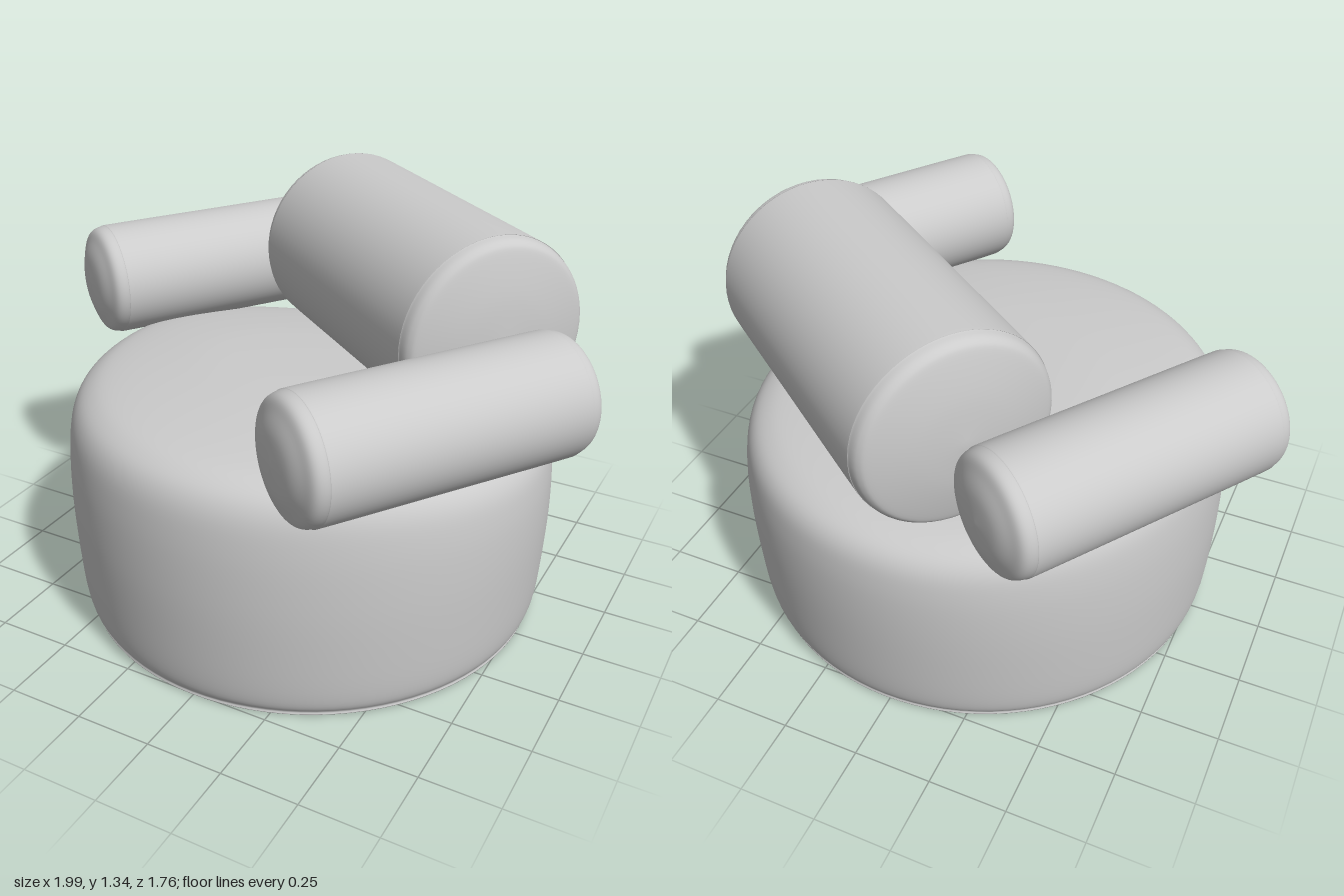
import * as THREE from 'three';
import { mergeVertices } from 'three/addons/utils/BufferGeometryUtils.js';

const material = new THREE.MeshStandardMaterial({ color: 0xcccccc });

// Smooth lathe through a few profile points, welded so the seam shades cleanly
function turned(points, segments, rule) {
  const curve = new THREE.SplineCurve(points.map(([r, y]) => new THREE.Vector2(r, y)));
  const profile = curve.getPoints(points.length * 5);
  profile.forEach((p) => { p.x = Math.max(p.x, 0); p.y = Math.max(p.y, rule ? 0 : -10); });
  profile[0].x = profile[profile.length - 1].x = 0;
  let geometry = new THREE.LatheGeometry(profile, segments);
  geometry.deleteAttribute('uv');
  geometry.deleteAttribute('normal');
  geometry = mergeVertices(geometry, 1e-5);
  if (rule) {
    const pos = geometry.attributes.position;
    const v = new THREE.Vector3();
    for (let i = 0; i < pos.count; i++) {
      rule(v.fromBufferAttribute(pos, i));
      pos.setXYZ(i, v.x, v.y, v.z);
    }
  }
  geometry.computeVertexNormals();
  return geometry;
}

// Stuffed cylinder along y with rounded rims and slightly puffed ends
function bolster(radius, half, round, puff) {
  const rim = half - puff;
  const end = [
    [0, half],
    [radius * 0.45, half - puff * 0.3],
    [radius - round, rim],
    [radius - round * 0.3, rim - round * 0.35],
    [radius - round * 0.05, rim - round],
    [radius, rim - round * 2],
  ];
  const lower = end.map(([r, y]) => [r, -y]);
  return turned([...lower, [radius, 0], ...end.reverse()], 64);
}

function addPart(parent, name, geometry) {
  const mesh = new THREE.Mesh(geometry, material);
  mesh.name = name;
  parent.add(mesh);
  return mesh;
}

export function createModel() {
  const group = new THREE.Group();
  group.name = 'roundArmchair';

  // The whole chair is turned towards its right
  const chair = new THREE.Group();
  chair.name = 'turnedChair';
  chair.rotation.y = THREE.MathUtils.degToRad(-34.5);
  group.add(chair);

  // Drum seat: domed cushion that sinks towards the backrest
  const seatProfile = [
    [0, 0], [0.4, 0], [0.73, 0], [0.765, 0.015], [0.785, 0.07], [0.797, 0.22],
    [0.803, 0.4], [0.797, 0.58], [0.775, 0.7], [0.72, 0.765], [0.62, 0.797],
    [0.4, 0.822], [0.2, 0.83], [0, 0.832],
  ];
  const seat = addPart(chair, 'seat', turned(seatProfile, 96, (v) => {
    const sink = 1 - THREE.MathUtils.smoothstep(v.z, -0.6, 0.35);
    const height = Math.max(0, (v.y - 0.4) / 0.43);
    v.y -= 0.1 * sink * height;
  }));
  seat.position.z = -0.01;

  // Thick backrest roll lying across the seat
  const back = addPart(chair, 'backrest', bolster(0.313, 0.56, 0.05, 0.035));
  back.rotation.set(0, THREE.MathUtils.degToRad(-2.5), Math.PI / 2);
  back.position.set(0.01, 1.03, -0.38);

  // Pair of armrest rolls
  for (const side of [-1, 1]) {
    const arm = addPart(chair, side > 0 ? 'leftArmrest' : 'rightArmrest', bolster(0.19, 0.49, 0.05, 0.025));
    arm.rotation.x = Math.PI / 2;
    arm.position.set(side * 0.727, 0.93, 0);
  }
  return group;
}
